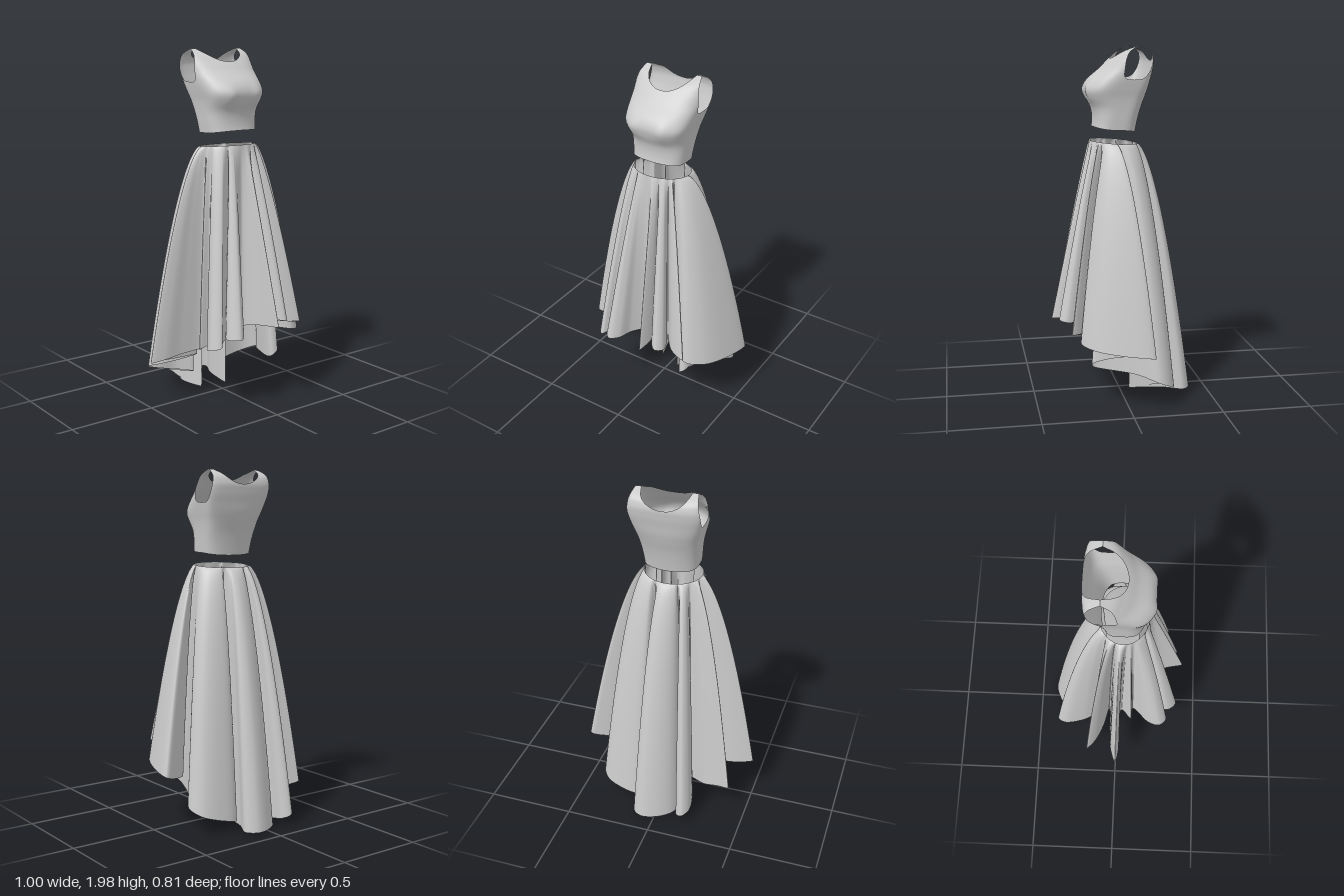
import * as THREE from 'three';

const cloth = new THREE.MeshStandardMaterial({ color: 0xcccccc, side: THREE.DoubleSide });
const { lerp, smoothstep } = THREE.MathUtils;

// Smooth lookup through rows of [key, value, value, ...]
function lookup(rows) {
  const size = rows[0].length - 1;
  const spline = new THREE.CubicInterpolant(
    rows.map(r => r[0]), rows.flatMap(r => r.slice(1)), size, new Array(size));
  return key => spline.evaluate(key);
}

// Closed sheet: point(i, v) gives [x, y, z], i counts columns and v runs upward
function sheet(name, columns, rows, point) {
  const positions = [], index = [];
  for (let j = 0; j <= rows; j++) {
    for (let i = 0; i < columns; i++) positions.push(...point(i, j / rows));
  }
  for (let j = 0; j < rows; j++) {
    for (let i = 0; i < columns; i++) {
      const a = j * columns + i, b = j * columns + (i + 1) % columns;
      index.push(a, b, b + columns, a, b + columns, a + columns);
    }
  }
  const geometry = new THREE.BufferGeometry();
  geometry.setAttribute('position', new THREE.Float32BufferAttribute(positions, 3));
  geometry.setIndex(index);
  geometry.computeVertexNormals();
  const mesh = new THREE.Mesh(geometry, cloth);
  mesh.name = name;
  return mesh;
}

// Cropped sleeveless top: round sections cut by neckline and armholes
function makeBodice() {
  // height, half width, front z, back z, side seam z
  const section = lookup([
    [1.50, 0.147, 0.165, -0.08, 0.035],
    [1.60, 0.157, 0.150, -0.10, 0.025],
    [1.66, 0.163, 0.158, -0.115, 0.01],
    [1.72, 0.172, 0.186, -0.135, 0.00],
    [1.77, 0.184, 0.195, -0.15, -0.02],
    [1.82, 0.195, 0.172, -0.16, -0.05],
    [1.88, 0.205, 0.103, -0.172, -0.08],
    [1.93, 0.207, 0.052, -0.174, -0.085],
    [1.975, 0.204, -0.008, -0.145, -0.083],
    [2.00, 0.197, -0.08, -0.08, -0.08],
  ]);
  const inner = 0.7, outer = 0.87, columns = 192;
  // Upper edge: scooped neck, shoulder strap, armhole
  const topEdge = (s, front) => {
    if (s < inner) {
      const low = front ? 1.93 : 1.92;
      return low + (2 - low) * (s / inner) ** 2.3;
    }
    if (s < outer) return 2;
    return 1.82 + 0.18 * Math.max(0, (1 - s) / (1 - outer)) ** 0.75;
  };
  return sheet('bodice', columns, 48, (i, v) => {
    const a = i / columns * Math.PI * 2, s = Math.sin(a), c = Math.cos(a);
    const front = c >= 0;
    const y = lerp(1.545 + 0.015 * c, topEdge(Math.abs(s), front), v);
    const [w, zf, zb, zc] = section(y);
    const x = w * s;
    // Squarer across the bust and the shoulder blades
    const bust = Math.exp(-(((y - 1.755) / 0.06) ** 2));
    const power = front ? 0.6 - 0.22 * bust : lerp(0.5, 0.28, smoothstep(y, 1.55, 1.85));
    const bulge = Math.abs(c) ** power;
    let z = zc + ((front ? zf : zb) - zc) * bulge;
    if (front) z += 0.012 * bust * Math.exp(-(((Math.abs(x) - 0.09) / 0.04) ** 2)) * bulge;
    return [x + 0.01, y, z];
  });
}

// Pleated skirt: lofted from the waist oval to a deeply folded, sloping hem
function makeSkirt() {
  const cx = 0.01, cz = 0.03, columns = 720;
  // Hem folds, counted round from the front: height at the inner crease, then x, z pairs
  const folds = [
    [0.45, 0.00, 0.18, 0.06, 0.27, 0.09, 0.40, 0.105, 0.30],
    [0.51, 0.08, 0.20, 0.12, 0.32, 0.17, 0.365, 0.205, 0.33, 0.18, 0.25],
    [0.47, 0.14, 0.18, 0.23, 0.28, 0.325, 0.31, 0.27, 0.24],
    [0.43, 0.14, 0.12, 0.22, 0.21, 0.31, 0.262, 0.40, 0.20, 0.47, 0.05, 0.495, -0.12, 0.44, -0.11, 0.33, -0.04],
    [0.29, 0.29, 0.10, 0.26, 0.19, 0.22, 0.18, 0.30, -0.05, 0.38, -0.17, 0.35, -0.24, 0.25, -0.275, 0.12, -0.26],
    [0.03, 0.06, -0.05, 0.09, -0.25, 0.135, -0.36, 0.08, -0.405, -0.01, -0.385, -0.09, -0.32, -0.115, -0.24],
    [0.02, -0.08, -0.10, -0.12, -0.27, -0.13, -0.36, -0.17, -0.385, -0.205, -0.34, -0.19, -0.22],
    [0.13, -0.14, -0.10, -0.24, -0.15, -0.33, -0.165, -0.40, -0.185, -0.35, -0.13, -0.25, -0.08],
    [0.25, -0.15, -0.05, -0.30, -0.04, -0.42, -0.03, -0.50, 0.00, -0.42, 0.02, -0.30, 0.015],
    [0.31, -0.17, 0.03, -0.23, 0.09],
    [0.35, -0.17, 0.10, -0.26, 0.20, -0.28, 0.27, -0.24, 0.31, -0.20, 0.27],
    [0.43, 0.02, 0.13, -0.13, 0.21, -0.195, 0.31, -0.15, 0.365, -0.10, 0.33, -0.07, 0.25],
  ];
  const points = folds.flatMap(([y, ...xz], f) => {
    const count = xz.length / 2, nextY = folds[(f + 1) % folds.length][0];
    return Array.from({ length: count }, (_, i) =>
      new THREE.Vector3(xz[2 * i], lerp(y, nextY, i / count), xz[2 * i + 1]));
  });
  const curve = new THREE.CatmullRomCurve3(points, true, 'centripetal');
  const hem = Array.from({ length: columns }, (_, i) => curve.getPoint(i / columns));

  // Direction of each hem point, unwound, then averaged so the waist runs evenly round
  const turn = Math.PI * 2, reach = 36;
  const angles = [];
  for (const p of hem) {
    const a = Math.atan2(p.x - cx, p.z - cz), last = angles.at(-1) ?? a;
    angles.push(a + turn * Math.round((last - a) / turn));
  }
  const waist = hem.map((_, i) => {
    let sum = 0;
    for (let k = i - reach; k <= i + reach; k++) {
      sum += angles[(k + columns) % columns] + turn * Math.floor(k / columns);
    }
    return sum / (2 * reach + 1);
  });

  return sheet('skirt', columns, 44, (i, v) => {
    const p = hem[i], c = Math.cos(waist[i]), s = Math.sin(waist[i]);
    const t = (1 - v) ** 1.5;
    const spread = t ** lerp(0.6, 0.95, Math.max(0, c) ** 2);
    return [
      lerp(cx + 0.165 * s, p.x, spread),
      lerp(1.472 + 0.01 * c, p.y, t),
      lerp(0.035 + 0.135 * c, p.z, spread),
    ];
  });
}

export function createModel() {
  const model = new THREE.Group();
  model.name = 'twoPieceDress';
  model.add(makeBodice(), makeSkirt());
  // Rest the lowest point of the hem on the ground
  model.position.y = -new THREE.Box3().setFromObject(model).min.y;
  return model;
}
